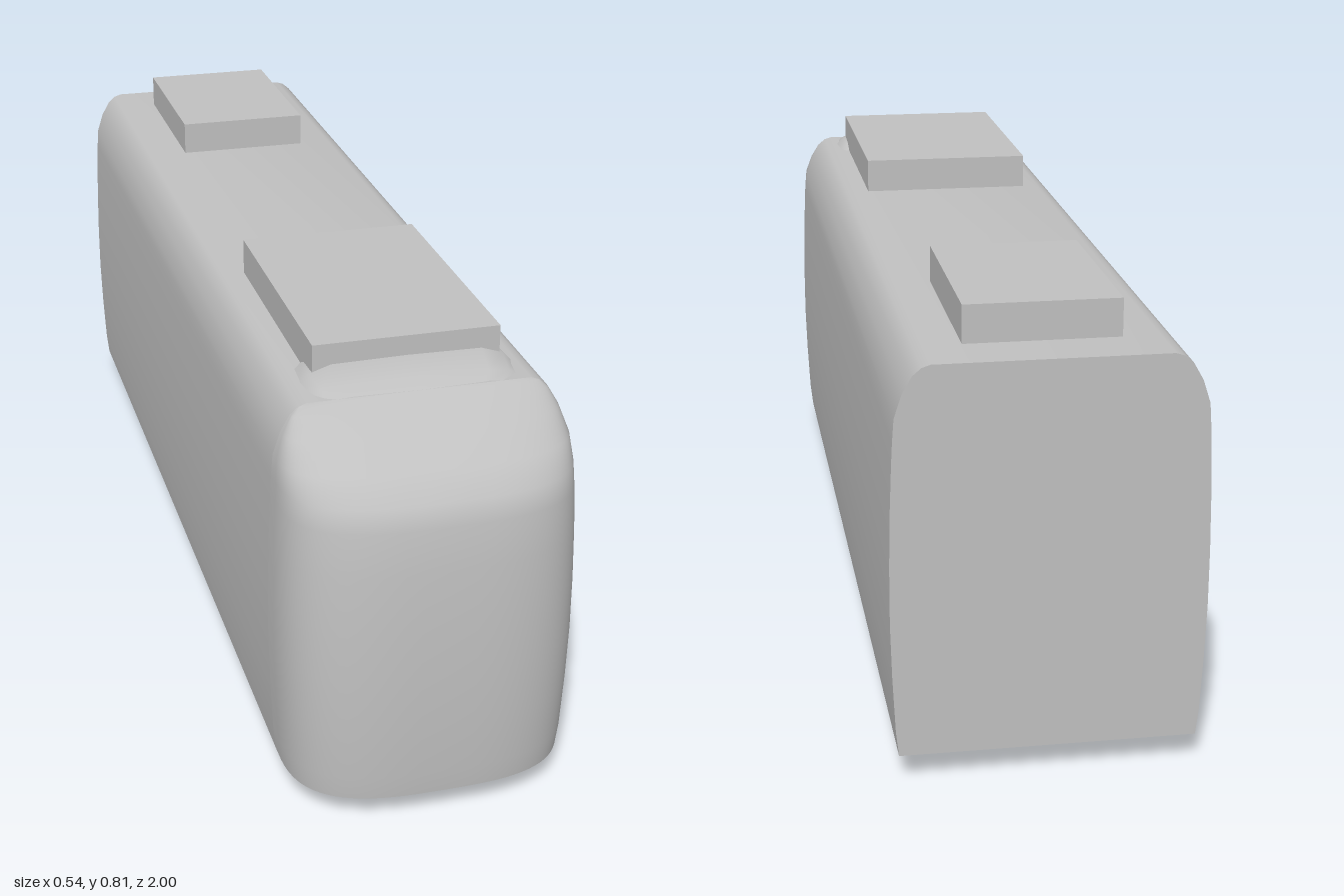
import * as THREE from 'three';
import { toCreasedNormals } from 'three/addons/utils/BufferGeometryUtils.js';

const FLOOR = 0.055, NOSE_Z = 0.8;

// Hull levels: height, half width, foremost z
const LEVELS = [
  [FLOOR, 0.257, 0.993], [0.1, 0.262, 0.997], [0.2, 0.267, 1], [0.3, 0.27, 1], [0.4, 0.27, 0.997],
  [0.5, 0.268, 0.991], [0.58, 0.265, 0.982], [0.62, 0.263, 0.97], [0.66, 0.26, 0.93],
  [0.7, 0.247, 0.87], [0.73, 0.23, 0.825], [0.743, 0.215, 0.806], [0.748, 0.2, NOSE_Z],
];

// Smooth surface through equal rows of [x, y, z] points
function grid(rows) {
  const n = rows[0].length, index = [];
  for (let r = 0; r < rows.length - 1; r++) {
    for (let c = 0; c < n - 1; c++) {
      const a = r * n + c, b = a + n;
      index.push(a, b, a + 1, b, b + 1, a + 1);
    }
  }
  const g = new THREE.BufferGeometry();
  g.setAttribute('position', new THREE.Float32BufferAttribute(rows.flat(2), 3));
  g.setIndex(index);
  g.computeVertexNormals();
  return g;
}

// Plan outline of the nose at one level, from +x round the front to -x
function noseRow([y, w, front]) {
  const row = [], steps = 40;
  for (let i = 0; i <= steps; i++) {
    const t = Math.PI * i / steps, c = Math.cos(t), s = Math.max(0, Math.sin(t));
    row.push([
      w * Math.sign(c) * Math.abs(c) ** (2 / 3), y,
      NOSE_Z + (front - NOSE_Z) * s ** (2 / 3),
    ]);
  }
  return row;
}

export function createModel() {
  const group = new THREE.Group();
  const grey = new THREE.MeshStandardMaterial({ color: 0xc0c0c0 });
  grey.name = 'grey';
  const add = (name, geometry, x = 0, y = 0, z = 0) => {
    const mesh = new THREE.Mesh(geometry, grey);
    mesh.name = name;
    mesh.position.set(x, y, z);
    group.add(mesh);
    return mesh;
  };

  // Long body with bulging sides and rounded roof shoulders
  const right = LEVELS.map(([y, w]) => new THREE.Vector2(w, y));
  const left = LEVELS.map(([y, w]) => new THREE.Vector2(-w, y)).reverse();
  const body = new THREE.ExtrudeGeometry(new THREE.Shape([...right, ...left]),
    { depth: NOSE_Z + 1, bevelEnabled: false });
  add('body', toCreasedNormals(body, 0.8), 0, 0, -1);

  // Rounded nose with sloping upper front
  add('nose', grid(LEVELS.map(noseRow)));
  const floor = noseRow(LEVELS[0]).map(([x, , z]) => new THREE.Vector2(x, z));
  add('noseFloor', new THREE.ShapeGeometry(new THREE.Shape(floor)), 0, FLOOR).rotation.x = Math.PI / 2;

  // Low fairing on the roof: z, half width, top
  const fairing = [[0.8, 0.165, 0.746], [0.775, 0.187, 0.76], [0.72, 0.195, 0.776],
    [0.665, 0.192, 0.768], [0.63, 0.18, 0.746]];
  add('roofFairing', grid(fairing.map(([z, w, top]) => [
    [w, 0.744, z], [w * 0.9, (top + 0.75) / 2, z], [w * 0.7, top, z], [0, top + 0.002, z],
    [-w * 0.7, top, z], [-w * 0.9, (top + 0.75) / 2, z], [-w, 0.744, z],
  ])));

  // Roof units
  add('frontRoofUnit', new THREE.BoxGeometry(0.34, 0.067, 0.51), 0, 0.7815, 0.465);
  add('rearRoofUnit', new THREE.BoxGeometry(0.27, 0.067, 0.38), 0, 0.7815, -0.71);

  // Wheels showing below the floor
  const wheel = toCreasedNormals(
    new THREE.CylinderGeometry(0.058, 0.058, 0.022, 10).rotateZ(Math.PI / 2), 0.8);
  for (const x of [-0.161, 0.161]) {
    for (const z of [0.727, 0.343]) add('wheel', wheel, x, 0.058, z);
  }
  return group;
}
